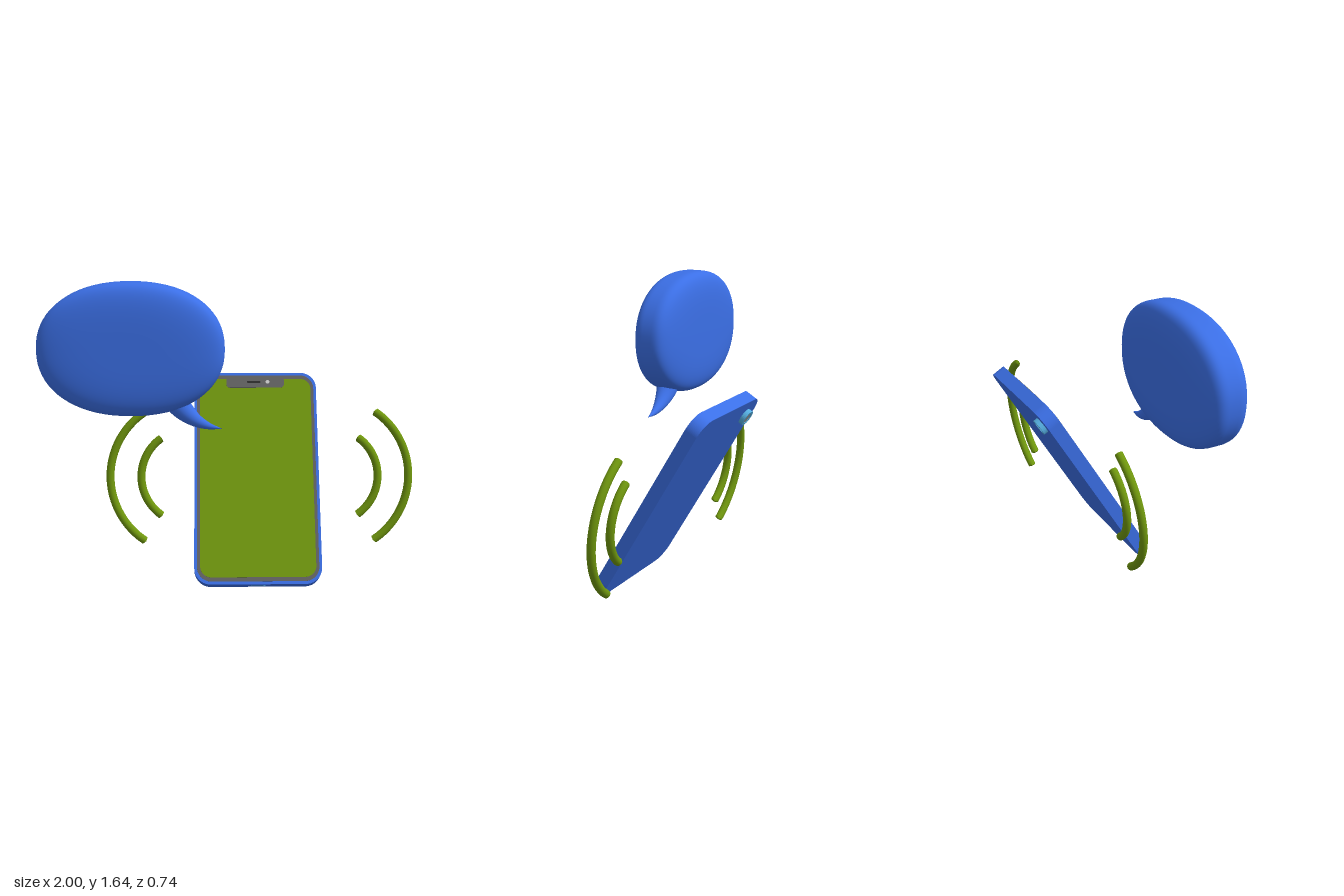
import * as THREE from 'three';
import { mergeVertices } from 'three/addons/utils/BufferGeometryUtils.js';

const paint = (color) => new THREE.MeshStandardMaterial({ color });
const BLUE = paint(0x3b6fe6), GREEN = paint(0x6f960e), GREY = paint(0x626262);
const DARK = paint(0x2c2c2c), LIGHT = paint(0xdddddd), SKY = paint(0x55aee0), LENS = paint(0x8c9296);

function add(parent, name, geometry, material, x = 0, y = 0, z = 0) {
  const mesh = new THREE.Mesh(geometry, material);
  mesh.name = name;
  mesh.position.set(x, y, z);
  parent.add(mesh);
  return mesh;
}

// Rounded plate standing in the xy plane, centred on all axes
function plate(w, h, r, depth) {
  const x = w / 2, y = h / 2, q = Math.PI / 2;
  const s = new THREE.Shape();
  s.absarc(x - r, y - r, r, 0, q);
  s.absarc(r - x, y - r, r, q, 2 * q);
  s.absarc(r - x, r - y, r, 2 * q, 3 * q);
  s.absarc(x - r, r - y, r, 3 * q, 4 * q);
  s.closePath();
  return new THREE.ExtrudeGeometry(s, { depth, bevelEnabled: false, curveSegments: 12 })
    .translate(0, 0, -depth / 2);
}

// Tube whose radius follows radiusAt(t)
function taperedTube(curve, segments, sides, radiusAt) {
  const geo = new THREE.TubeGeometry(curve, segments, 1, sides);
  const pos = geo.attributes.position, v = new THREE.Vector3();
  for (let i = 0; i < pos.count; i++) {
    const t = Math.floor(i / (sides + 1)) / segments;
    const c = curve.getPointAt(t);
    v.fromBufferAttribute(pos, i).sub(c).multiplyScalar(radiusAt(t)).add(c);
    pos.setXYZ(i, v.x, v.y, v.z);
  }
  return geo;
}

// Pillow: an oval outline with a squarer section through its depth
function pillow(a, b, c) {
  const geo = new THREE.SphereGeometry(1, 72, 64).rotateX(Math.PI / 2);
  const pos = geo.attributes.position;
  const pow = (n, e) => Math.sign(n) * Math.abs(n) ** e;
  for (let i = 0; i < pos.count; i++) {
    const x = pos.getX(i), y = pos.getY(i), z = pos.getZ(i);
    const s = Math.hypot(x, y) || 1e-9, k = Math.sqrt(s);
    pos.setXYZ(i, a * k * pow(x / s, 0.91), b * k * pow(y / s, 0.91), c * pow(z, 0.5));
  }
  geo.deleteAttribute('uv');
  geo.deleteAttribute('normal');
  const merged = mergeVertices(geo, 1e-5);
  merged.computeVertexNormals();
  return merged;
}

function createPhone() {
  const phone = new THREE.Group();
  phone.name = 'phone';
  const W = 0.685, H = 1.204, D = 0.072, F = D / 2;
  add(phone, 'phoneBody', plate(W, H, 0.09, D), BLUE);
  add(phone, 'bezel', plate(0.655, 1.172, 0.078, 0.006), GREY, 0, 0, F - 0.001);
  add(phone, 'screen', plate(0.622, 1.128, 0.06, 0.006), GREEN, 0, 0, F + 0.001);

  // Notch with earpiece and front camera
  add(phone, 'notch', plate(0.325, 0.066, 0.022, 0.006), GREY, 0, 0.544, F + 0.003);
  add(phone, 'earpiece', plate(0.075, 0.012, 0.005, 0.006), DARK, -0.008, 0.545, F + 0.005);
  const dot = new THREE.CylinderGeometry(0.011, 0.011, 0.006, 20).rotateX(Math.PI / 2);
  add(phone, 'frontCamera', dot, LIGHT, 0.07, 0.545, F + 0.005);

  // Charging port on the bottom edge
  const port = plate(0.08, 0.014, 0.006, 0.004).rotateX(Math.PI / 2);
  add(phone, 'chargingPort', port, SKY, 0, -H / 2, 0);

  // Rear camera: raised ring around a lens
  const ring = new THREE.LatheGeometry(
    [[0.032, 0], [0.046, 0], [0.046, 0.024], [0.032, 0.024], [0.032, 0]]
      .map(([x, y]) => new THREE.Vector2(x, y)), 32).rotateX(-Math.PI / 2);
  const cam = add(phone, 'rearCameraRing', ring.toNonIndexed(), SKY, -0.237, 0.494, -F);
  cam.geometry.computeVertexNormals();
  const lens = new THREE.CylinderGeometry(0.033, 0.033, 0.02, 32).rotateX(Math.PI / 2);
  add(phone, 'rearCameraLens', lens, LENS, -0.237, 0.494, -F - 0.01);

  phone.position.set(0.137, 0.54, -0.033);
  phone.rotation.x = -0.536;
  return phone;
}

// Curved sound waves, a pair on each side of the phone
function createWaves() {
  const waves = new THREE.Group();
  waves.name = 'soundWaves';
  for (const side of [1, -1]) {
    for (const [name, R, half] of [['innerWave', 0.262, 0.97], ['outerWave', 0.432, 0.985]]) {
      const points = [];
      for (let i = 0; i <= 16; i++) {
        const a = half * (i / 8 - 1);
        points.push(new THREE.Vector3(side * (0.39 + R * Math.cos(a)), R * Math.sin(a), 0));
      }
      const curve = new THREE.CatmullRomCurve3(points);
      const len = curve.getLength();
      const radius = (t) => {
        const d = Math.min(t, 1 - t) * len / 0.008;
        return d < 1 ? 0.022 * Math.sqrt(Math.max(0, 1 - (1 - d) ** 2)) : 0.022;
      };
      add(waves, (side > 0 ? 'left' : 'right') + name, taperedTube(curve, 120, 20, radius), GREEN);
    }
  }
  waves.position.set(0.155, 0.545, -0.029);
  waves.rotation.x = -0.12;
  return waves;
}

// Speech bubble with a curved pointed tail
function createBubble() {
  const bubble = new THREE.Group();
  bubble.name = 'speechBubble';
  add(bubble, 'bubbleBody', pillow(0.48, 0.343, 0.123), BLUE, -0.52, 1.298, 0);
  const spine = new THREE.CatmullRomCurve3([
    [-0.31, 1.07], [-0.265, 0.99], [-0.2, 0.93], [-0.13, 0.895], [-0.055, 0.878],
  ].map(([x, y]) => new THREE.Vector3(x, y, 0)));
  const tail = taperedTube(spine, 32, 28, (t) => 0.078 * (1 - t) ** 0.95);
  add(bubble, 'bubbleTail', tail, BLUE);
  bubble.position.z = 0.25;
  return bubble;
}

export function createModel() {
  const model = new THREE.Group();
  model.name = 'phoneWithSpeechBubble';
  model.add(createPhone(), createWaves(), createBubble());
  return model;
}
